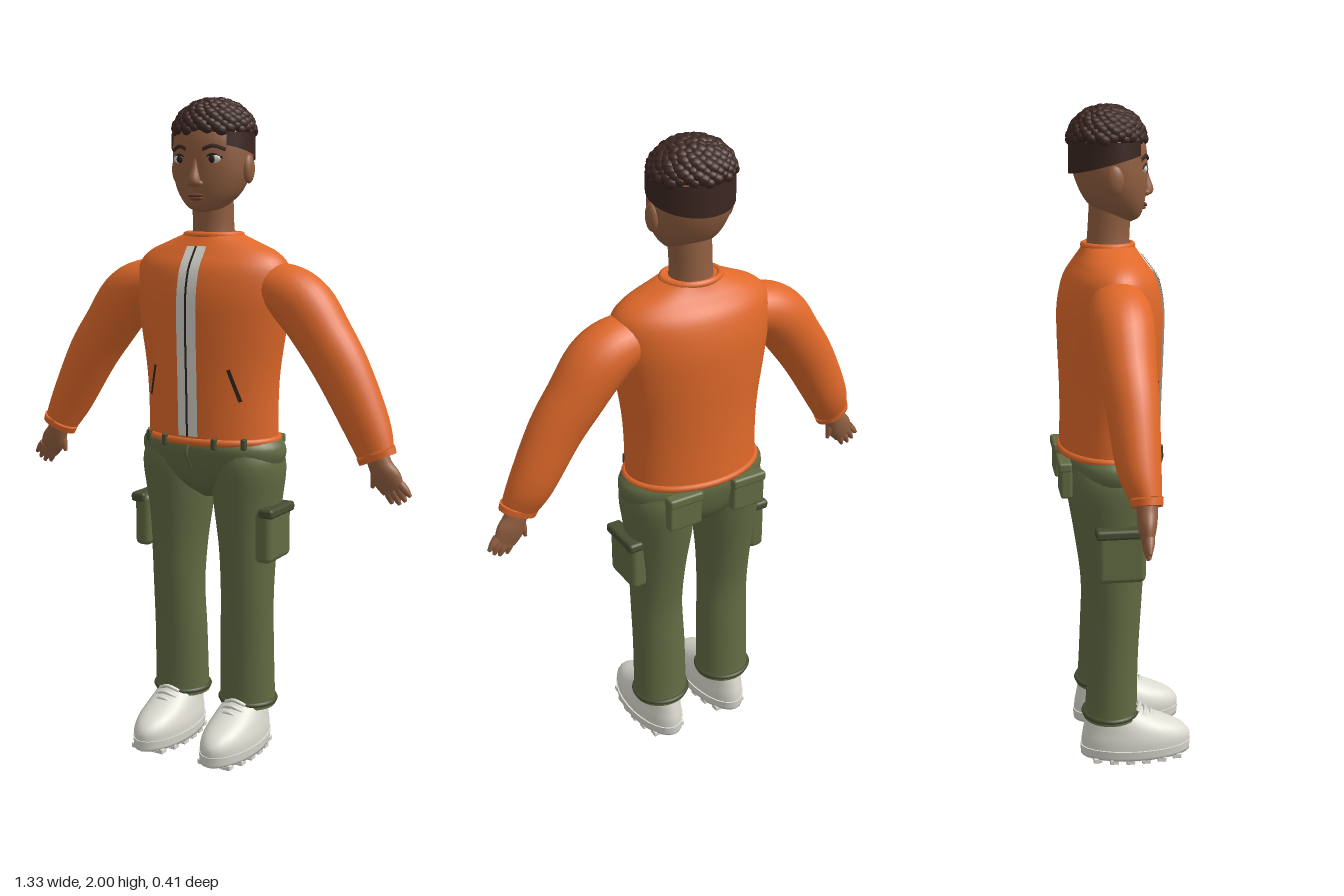
import * as THREE from 'three';
import { mergeGeometries } from 'three/addons/utils/BufferGeometryUtils.js';
import { RoundedBoxGeometry } from 'three/addons/geometries/RoundedBoxGeometry.js';

const mat = (name, color, side = THREE.FrontSide) => {
  const m = new THREE.MeshStandardMaterial({ color, side });
  m.name = name;
  return m;
};

// Smooth interpolation of sections [x, y, z, halfWidth, halfDepth]
function sample(secs, n) {
  const c = new THREE.CatmullRomCurve3(secs.map(s => new THREE.Vector3(s[0], s[1], s[2])), false, 'catmullrom', 0.5);
  const r = new THREE.CatmullRomCurve3(secs.map(s => new THREE.Vector3(s[3], s[4], 0)), false, 'catmullrom', 0.5);
  return Array.from({ length: n + 1 }, (_, i) => ({ c: c.getPoint(i / n), r: r.getPoint(i / n), t: c.getTangent(i / n) }));
}

// Skin elliptical rings along a path lying mostly in the xy plane, with end caps
function loft(secs, sides = 28, per = 4) {
  const rings = sample(secs, (secs.length - 1) * per), pos = [], idx = [];
  const addRing = ({ c, r, t }) => {
    const l = Math.hypot(t.x, t.y) || 1;
    for (let j = 0; j < sides; j++) {
      const a = j / sides * Math.PI * 2, u = r.x * Math.cos(a);
      pos.push(c.x + u * t.y / l, c.y - u * t.x / l, c.z + r.y * Math.sin(a));
    }
  };
  rings.forEach(addRing);
  for (let i = 0; i < rings.length - 1; i++) for (let j = 0; j < sides; j++) {
    const k = (j + 1) % sides, a = i * sides, b = a + sides;
    idx.push(a + j, b + j, a + k, b + j, b + k, a + k);
  }
  [rings[0], rings[rings.length - 1]].forEach((ring, e) => {
    const base = pos.length / 3;
    addRing(ring);
    pos.push(ring.c.x, ring.c.y, ring.c.z);
    for (let j = 0; j < sides; j++) {
      const k = (j + 1) % sides;
      idx.push(base + sides, base + (e ? k : j), base + (e ? j : k));
    }
  });
  const g = new THREE.BufferGeometry();
  g.setAttribute('position', new THREE.Float32BufferAttribute(pos, 3));
  g.setIndex(idx);
  g.computeVertexNormals();
  return g;
}

const torsoSecs = [
  [0, 0.98, -0.04, 0.212, 0.15], [0, 1.1, -0.037, 0.212, 0.15], [0, 1.2, -0.036, 0.219, 0.152],
  [0, 1.32, -0.036, 0.238, 0.156], [0, 1.42, -0.036, 0.252, 0.155], [0, 1.5, -0.036, 0.25, 0.137],
  [0, 1.545, -0.037, 0.215, 0.108], [0, 1.575, -0.038, 0.15, 0.088], [0, 1.6, -0.04, 0.088, 0.074]];
const torsoRings = sample(torsoSecs, 160);

// A thin panel wrapped onto the jacket front
function panel(w, h, x, y, turn, off) {
  const g = new THREE.PlaneGeometry(w, h, 2, 24).rotateZ(turn).translate(x, y, 0), p = g.attributes.position;
  for (let i = 0; i < p.count; i++) {
    const px = p.getX(i), py = p.getY(i);
    const k = torsoRings.reduce((a, b) => Math.abs(b.c.y - py) < Math.abs(a.c.y - py) ? b : a);
    p.setZ(i, k.c.z + k.r.y * Math.sqrt(Math.max(0, 1 - (px / k.r.x) ** 2)) + off);
  }
  g.computeVertexNormals();
  return g;
}

const ball = (x, y, z, rx, ry, rz, w = 16, h = 12) => new THREE.SphereGeometry(1, w, h).scale(rx, ry, rz).translate(x, y, z);
const ring = (y, z, rx, rz, t, x = 0) => new THREE.TorusGeometry(1, t / rx, 8, 40).rotateX(Math.PI / 2).scale(rx, rx, rz).translate(x, y, z);
const box = (w, h, d, x, y, z, r = 0.008) => new RoundedBoxGeometry(w, h, d, 2, r).translate(x, y, z);
const rod = (pts, r) => new THREE.TubeGeometry(new THREE.CatmullRomCurve3(pts.map(p => new THREE.Vector3(...p))), 12, r, 6);

export function createModel() {
  const root = new THREE.Group();
  root.name = 'standingMan';
  const jacket = mat('jacket orange', 0xe0692a), olive = mat('trouser olive', 0x626b43), trim = mat('dark olive trim', 0x454d30);
  const skin = mat('skin brown', 0x925f41), hair = mat('hair dark brown', 0x3b2621, THREE.DoubleSide);
  const white = mat('shoe off white', 0xdcdad0), stripe = mat('placket light grey', 0xd4d2ca, THREE.DoubleSide);
  const dark = mat('dark detail', 0x2a211e, THREE.DoubleSide), lip = mat('lip brown', 0x74432f);
  const add = (name, g, m) => {
    const mesh = new THREE.Mesh(g, m);
    mesh.name = name;
    root.add(mesh);
  };

  // Jacket body, collar, hem and zip placket
  add('jacketBody', loft(torsoSecs, 48), jacket);
  add('collar', ring(1.595, -0.04, 0.086, 0.072, 0.011), jacket);
  add('hem', ring(0.988, -0.04, 0.212, 0.15, 0.011), jacket);
  add('placket', panel(0.066, 0.56, 0, 1.285, 0, 0.006), stripe);
  add('zip', panel(0.007, 0.56, 0, 1.285, 0, 0.009), dark);

  // Hips and drawstring
  add('hips', loft([[0, 0.8, -0.045, 0.03, 0.05], [0, 0.84, -0.045, 0.12, 0.1], [0, 0.88, -0.045, 0.205, 0.125],
    [0, 0.93, -0.042, 0.236, 0.142], [0, 0.965, -0.04, 0.238, 0.148], [0, 0.988, -0.04, 0.222, 0.143]], 44), olive);
  add('drawstring', rod([[0, 0.985, 0.11], [0.004, 0.95, 0.128], [0.018, 0.905, 0.122]], 0.004), trim);

  // Head, neck and nose
  add('neck', loft([[0, 1.57, -0.04, 0.068, 0.066], [0, 1.63, -0.038, 0.062, 0.062], [0, 1.73, -0.03, 0.063, 0.064]]), skin);
  add('head', loft([[0, 1.664, 0.012, 0.02, 0.02], [0, 1.677, 0.004, 0.055, 0.05], [0, 1.715, -0.015, 0.093, 0.082],
    [0, 1.765, -0.027, 0.116, 0.1], [0, 1.82, -0.034, 0.123, 0.109], [0, 1.88, -0.036, 0.119, 0.107],
    [0, 1.925, -0.038, 0.097, 0.09], [0, 1.95, -0.04, 0.055, 0.05], [0, 1.96, -0.04, 0.005, 0.005]], 40), skin);
  add('nose', loft([[0, 1.735, 0.066, 0.008, 0.006], [0, 1.744, 0.073, 0.02, 0.018], [0, 1.76, 0.075, 0.018, 0.019],
    [0, 1.79, 0.071, 0.011, 0.012], [0, 1.825, 0.067, 0.009, 0.006]], 16), skin);
  add('upperLip', ball(0, 1.712, 0.068, 0.026, 0.005, 0.007), lip);
  add('lowerLip', ball(0, 1.703, 0.064, 0.022, 0.006, 0.008), lip);
  add('mouthLine', ball(0, 1.708, 0.07, 0.024, 0.0015, 0.006), dark);

  // Curls spread over the crown
  const curls = [];
  for (let i = 0; i < 170; i++) {
    const v = 0.03 + 0.97 * (i + 0.5) / 170, a = i * 2.39996, s = Math.sqrt(1 - v * v), w = 0.017 + 0.005 * Math.abs(Math.sin(i * 12.9));
    curls.push(ball(0.113 * s * Math.cos(a), 1.892 + 0.088 * v, -0.042 + 0.1 * s * Math.sin(a), w, w * 0.85, w, 8, 6));
  }
  add('curls', mergeGeometries(curls), hair);

  // Short hair band round the sides and back, lower at the nape
  const band = new THREE.PlaneGeometry(1, 1, 48, 4), bp = band.attributes.position;
  for (let i = 0; i < bp.count; i++) {
    const a = bp.getX(i) * Math.PI * 1.5, drop = 0.028 + 0.062 * (1 + Math.cos(a)) / 2;
    const z = -0.037 - 0.116 * Math.cos(a);
    bp.setXYZ(i, -0.127 * Math.sin(a), 1.892 - drop * (0.5 - bp.getY(i)), z);
  }
  band.computeVertexNormals();
  add('hairBand', band, hair);

  for (const s of [1, -1]) {
    const side = s > 0 ? 'left' : 'right';
    const limb = secs => loft(secs.map(p => [p[0] * s, ...p.slice(1)]), 28);

    // Sleeve and cuff
    add(side + 'Sleeve', limb([[0.14, 1.45, -0.036, 0.07, 0.075], [0.24, 1.436, -0.036, 0.082, 0.088], [0.308, 1.393, -0.036, 0.09, 0.09],
      [0.375, 1.305, -0.033, 0.085, 0.082], [0.44, 1.21, -0.026, 0.081, 0.073], [0.52, 1.06, -0.02, 0.069, 0.06], [0.56, 0.975, -0.004, 0.055, 0.04]]), jacket);
    add(side + 'Cuff', limb([[0.553, 0.992, -0.005, 0.061, 0.046], [0.562, 0.971, -0.004, 0.059, 0.042]]), jacket);
    // Hand with fingers and thumb
    add(side + 'Palm', limb([[0.555, 0.99, -0.004, 0.034, 0.028], [0.572, 0.95, -0.005, 0.036, 0.028],
      [0.59, 0.918, -0.007, 0.043, 0.024], [0.61, 0.885, -0.009, 0.036, 0.015]]), skin);
    for (const [x0, y0, x1, y1] of [[0.63, 0.905, 0.662, 0.872], [0.62, 0.9, 0.647, 0.855], [0.605, 0.89, 0.63, 0.845], [0.59, 0.89, 0.606, 0.845], [0.557, 0.945, 0.544, 0.885]])
      add(side + 'Finger', limb([[x0, y0, -0.007, 0.014, 0.014], [(x0 + x1) / 2, (y0 + y1) / 2, -0.009, 0.012, 0.012],
        [x1, y1, -0.01, 0.005, 0.005]]), skin);

    // Trouser leg with ankle cuff
    add(side + 'Leg', limb([[0.12, 0.14, -0.05, 0.088, 0.084], [0.12, 0.2, -0.047, 0.087, 0.08], [0.12, 0.35, -0.042, 0.085, 0.078],
      [0.123, 0.5, -0.036, 0.083, 0.08], [0.122, 0.65, -0.04, 0.089, 0.094], [0.119, 0.8, -0.044, 0.105, 0.114],
      [0.122, 0.9, -0.043, 0.112, 0.126], [0.12, 0.95, -0.042, 0.1, 0.12]]), olive);
    add(side + 'AnkleCuff', ring(0.156, -0.05, 0.087, 0.083, 0.008, 0.12 * s), trim);
    // Cargo, back and belt-loop details
    add(side + 'CargoPocket', box(0.055, 0.165, 0.145, 0.214 * s, 0.705, -0.028, 0.018), olive);
    add(side + 'CargoFlap', box(0.05, 0.03, 0.155, 0.226 * s, 0.778, -0.028, 0.01), trim);
    add(side + 'BackPocket', box(0.11, 0.1, 0.035, 0.11 * s, 0.92, -0.183), olive);
    add(side + 'BackPocketFlap', box(0.114, 0.03, 0.04, 0.11 * s, 0.965, -0.186), olive);
    for (const x of [0.085, 0.165]) {
      const z = 0.153 * Math.sqrt(1 - (x / 0.225) ** 2);
      add(side + 'BeltLoop', box(0.014, 0.034, 0.02, x * s, 0.987, -0.036 + z, 0.004), trim);
    }
    add(side + 'SlashPocket', panel(0.01, 0.1, 0.14 * s, 1.162, 0.3 * s, 0.005), dark);

    // Shoe: upper, sole, treads and laces
    add(side + 'ShoeUpper', limb([[0.12, 0.035, 0.03, 0.079, 0.172], [0.12, 0.07, 0.03, 0.079, 0.171], [0.12, 0.1, 0.018, 0.074, 0.154],
      [0.12, 0.13, -0.012, 0.067, 0.118], [0.12, 0.155, -0.035, 0.06, 0.088], [0.12, 0.175, -0.045, 0.054, 0.074]]), white);
    add(side + 'Sole', limb([[0.12, 0.012, 0.03, 0.08, 0.173], [0.12, 0.045, 0.03, 0.084, 0.176]]), white);
    for (let i = 0; i < 6; i++) {
      const z = -0.095 + i * 0.05, w = 0.158 * Math.sqrt(1 - ((z - 0.03) / 0.18) ** 2);
      add(side + 'Tread', box(w, 0.016, 0.028, 0.12 * s, 0.008, z, 0.003), white);
    }
    for (let i = 0; i < 3; i++) {
      const y = 0.172 - i * 0.014, z = 0.036 + i * 0.018;
      add(side + 'Lace', rod([[0.085 * s, y - 0.014, z - 0.004], [0.12 * s, y, z + 0.006], [0.155 * s, y - 0.014, z - 0.004]], 0.006), white);
    }

    // Ear, eye, brow and nostril
    add(side + 'Ear', ball(0.121 * s, 1.788, -0.034, 0.015, 0.042, 0.026), skin);
    add(side + 'EyeWhite', ball(0.055 * s, 1.816, 0.059, 0.024, 0.013, 0.009), white);
    add(side + 'Iris', ball(0.054 * s, 1.816, 0.065, 0.011, 0.012, 0.006), dark);
    add(side + 'UpperLid', rod([[0.03 * s, 1.819, 0.067], [0.055 * s, 1.83, 0.066], [0.081 * s, 1.819, 0.051]], 0.003), dark);
    add(side + 'Brow', rod([[0.026 * s, 1.843, 0.072], [0.055 * s, 1.853, 0.063], [0.087 * s, 1.842, 0.043]], 0.006), hair);
    add(side + 'Nostril', ball(0.017 * s, 1.746, 0.072, 0.01, 0.009, 0.011), skin);
  }
  return root;
}
